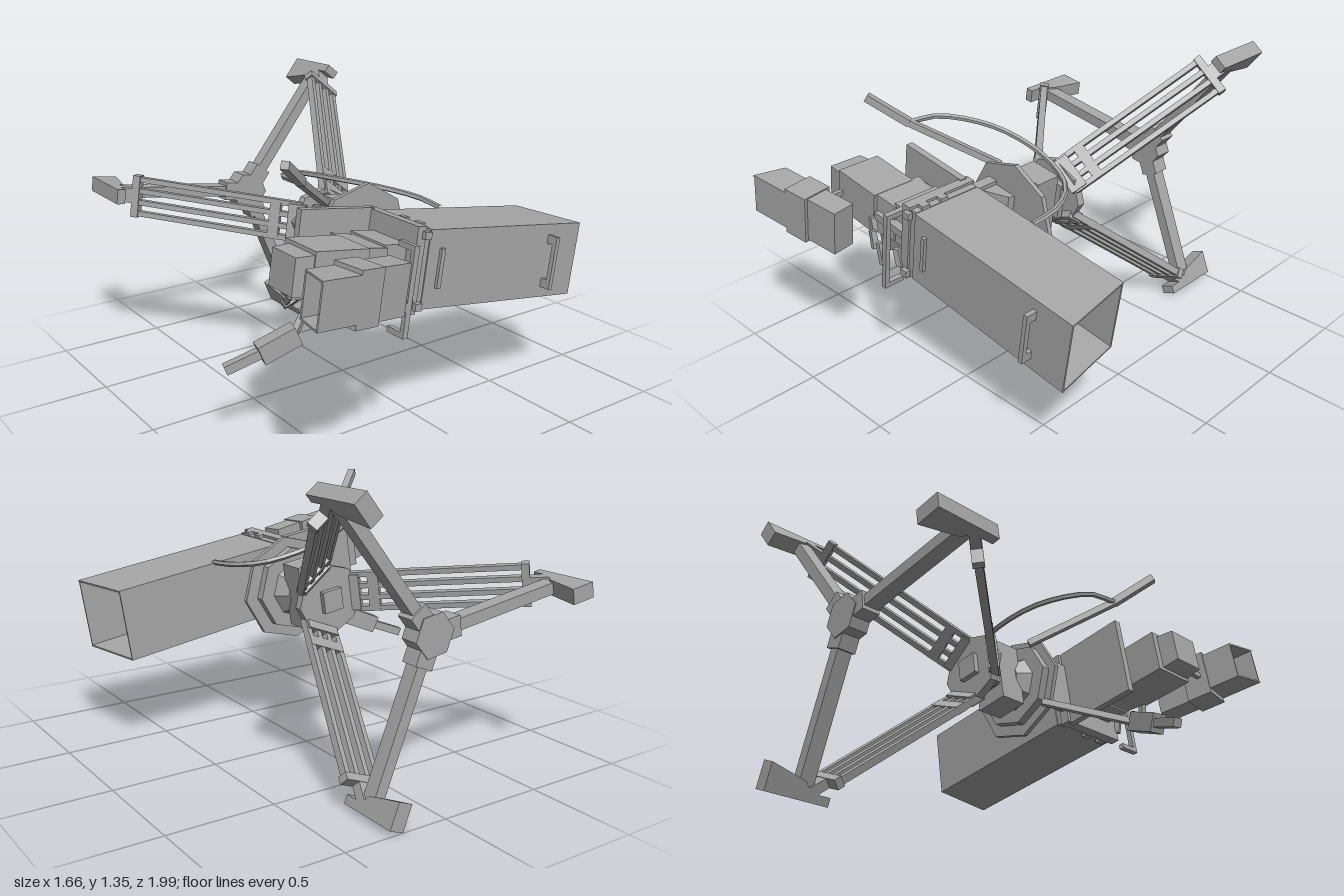
import * as THREE from 'three';

const grey = new THREE.MeshStandardMaterial({ color: 0xa6a6a6, flatShading: true });
grey.name = 'grey';

function mesh(name, geo, parent, x = 0, y = 0, z = 0) {
  const m = new THREE.Mesh(geo, grey);
  m.name = name;
  m.position.set(x, y, z);
  parent.add(m);
  return m;
}

// Box given by its limits on each axis; taper scales the -x end
function block(name, parent, [x0, x1], [y0, y1], [z0, z1], taper = 1) {
  const g = new THREE.BoxGeometry(x1 - x0, y1 - y0, z1 - z0);
  const p = g.attributes.position;
  for (let i = 0; i < p.count; i++) {
    if (p.getX(i) < 0) { p.setY(i, p.getY(i) * taper); p.setZ(i, p.getZ(i) * taper); }
  }
  g.computeVertexNormals();
  return mesh(name, g, parent, (x0 + x1) / 2, (y0 + y1) / 2, (z0 + z1) / 2);
}

// Square bar between two points
function beam(name, parent, a, b, w, h = w) {
  const A = new THREE.Vector3(...a), B = new THREE.Vector3(...b);
  const m = mesh(name, new THREE.BoxGeometry(w, h, A.distanceTo(B)), parent);
  m.position.copy(A).add(B).multiplyScalar(0.5);
  m.lookAt(B);
  return m;
}

// Prism with its axis along z, a flat side facing sideways
function prism(name, parent, r0, r1, sides, z0, z1, x, y) {
  const m = mesh(name, new THREE.CylinderGeometry(r1, r0, z1 - z0, sides), parent, x, y, (z0 + z1) / 2);
  m.rotation.x = Math.PI / 2;
  return m;
}

// Polygon in x and z, extruded along y about y = 0
function slab(points, h) {
  const s = new THREE.Shape(points.map(([x, z]) => new THREE.Vector2(x, -z)));
  const g = new THREE.ExtrudeGeometry(s, { depth: h, bevelEnabled: false });
  g.translate(0, 0, -h / 2);
  g.rotateX(-Math.PI / 2);
  return g;
}

// Open square tunnel along +x with a slanted mouth
function hood(name, len, h, d, slant, t) {
  const g = new THREE.Group();
  g.name = name;
  const outline = [[0, -d / 2], [len - slant, -d / 2], [len, d / 2], [0, d / 2]];
  for (const s of [-1, 1]) mesh('hoodPlate', slab(outline, t), g, 0, s * (h - t) / 2, 0);
  const y = [-h / 2 + t, h / 2 - t];
  block('hoodFrontWall', g, [0, len - slant * t / d], y, [d / 2 - t, d / 2]);
  block('hoodBackWall', g, [0, len - slant], y, [-d / 2, -d / 2 + t]);
  block('hoodEndWall', g, [0, t], y, [-d / 2 + t, d / 2 - t]);
  return g;
}

const AX = -0.03, AY = 0.735, TILT = -0.148;

function buildLimb(angle) {
  const limb = new THREE.Group();
  limb.name = 'tripodLimb';
  limb.position.set(AX, AY, 0);
  limb.rotation.z = angle;

  // ladder-like leg
  const leg = new THREE.Group();
  leg.name = 'leg';
  leg.position.set(0.12, 0, -0.12);
  leg.rotation.y = 0.834;
  limb.add(leg);
  for (const y of [-0.082, -0.028, 0.028, 0.082])
    block('legRail', leg, [0.0, 0.81], [y - 0.012, y + 0.012], [-0.017, 0.017]);
  block('legHinge', leg, [-0.02, 0.06], [-0.085, 0.085], [-0.025, 0.025]);
  block('legBrace', leg, [0.1, 0.15], [-0.094, 0.094], [-0.019, 0.019]);
  block('legCrossbar', leg, [0.79, 0.825], [-0.1, 0.1], [-0.024, 0.024]);
  block('ankle', leg, [0.81, 0.92], [-0.035, 0.035], [-0.022, 0.022]);

  // foot and spreader arm
  mesh('foot', slab([[0.77, -0.7], [0.73, -0.7], [0.73, -0.79], [0.69, -0.83],
    [0.675, -0.89], [0.65, -1], [0.77, -1]], 0.07), limb);
  block('spreaderArm', limb, [0.06, 0.73], [-0.026, 0.026], [-0.855, -0.785]);
  block('spreaderSocket', limb, [0.06, 0.14], [-0.045, 0.045], [-0.865, -0.78]);
  return limb;
}

function buildHead(root) {
  // stacked plates and joints along the tripod axis
  const head = new THREE.Group();
  head.name = 'tripodHead';
  head.position.set(AX, AY, 0);
  head.rotation.z = TILT;
  root.add(head);
  prism('legPlate', head, 0.165, 0.165, 8, -0.15, -0.11, 0, 0);
  block('baseKnob', head, [-0.05, 0.05], [-0.05, 0.05], [-0.175, -0.15]);
  block('neck', head, [-0.06, 0.06], [-0.08, 0.08], [-0.11, -0.03]);
  block('collar', head, [-0.09, 0.09], [-0.09, 0.09], [-0.09, -0.06]);
  block('tiltBlock', head, [-0.08, 0.08], [-0.15, 0.15], [-0.04, 0.09]);
  prism('waist', head, 0.09, 0.14, 8, 0.06, 0.13, 0, 0);
  prism('panRing', head, 0.2, 0.2, 8, 0.12, 0.165, 0, 0);
  prism('topPlate', head, 0.25, 0.25, 8, 0.16, 0.182, 0.01, 0);
  // bracket carrying the camera
  block('mountBracket', head, [-0.14, -0.09], [-0.12, 0.12], [0.18, 0.36]);
  mesh('mountGusset', slab([[-0.1, 0.18], [0.03, 0.18], [0.02, 0.21], [-0.1, 0.27]], 0.2), head);
}

function buildHandles(root) {
  // curved cable arm and upper grip
  const pts = [[-0.47, 1.1, 0.37], [-0.45, 1.09, 0.21], [-0.26, 1.04, 0.04], [-0.01, 0.96, -0.02],
    [0.2, 0.9, 0.05], [0.285, 0.875, 0.2], [0.29, 0.86, 0.35]].map(p => new THREE.Vector3(...p));
  const curve = new THREE.CatmullRomCurve3(pts);
  mesh('curvedArm', new THREE.TubeGeometry(curve, 18, 0.013, 5), root);
  beam('upperRod', root, [-0.47, 1.1, 0.37], [-0.16, 0.9, 0.1], 0.03);
  beam('upperGrip', root, [-0.615, 1.215, 0.485], [-0.465, 1.1, 0.37], 0.035);
  // lower grip
  beam('lowerRod', root, [-0.53, 0.47, 0.395], [-0.2, 0.6, 0.14], 0.028);
  beam('lowerGripBlock', root, [-0.675, 0.41, 0.36], [-0.52, 0.475, 0.4], 0.07, 0.085);
  beam('lowerGrip', root, [-0.81, 0.357, 0.31], [-0.66, 0.415, 0.36], 0.04);
}

function buildCamera(root) {
  const cam = new THREE.Group();
  cam.name = 'camera';
  cam.position.set(-0.08, 0.7425, 0);
  cam.rotation.z = TILT;
  root.add(cam);

  // long lens hood with trim strips
  const lensHood = hood('lensHood', 0.9, 0.337, 0.35, 0.055, 0.008);
  lensHood.position.z = 0.515;
  cam.add(lensHood);
  const lens = mesh('lens', new THREE.CylinderGeometry(0.07, 0.07, 0.05, 12), cam, 0.03, 0, 0.515);
  lens.rotation.z = Math.PI / 2;
  block('hoodStrip', cam, [0.06, 0.08], [-0.08, 0.09], [0.685, 0.705]);
  block('hoodStrip', cam, [0.7, 0.72], [-0.12, 0.12], [0.72, 0.742]);
  for (const y of [-0.1, 0.1])
    block('stripPost', cam, [0.7, 0.72], [y - 0.02, y + 0.02], [0.685, 0.725]);

  // frame, its knobs and the rear panel
  block('frameFront', cam, [-0.03, 0], [-0.172, 0.172], [0.345, 0.685]);
  block('frameRear', cam, [-0.075, -0.03], [-0.185, 0.185], [0.335, 0.695]);
  for (const s of [-1, 1]) {
    block('frameKnob', cam, [-0.05, -0.015], [s * 0.15 - 0.016, s * 0.15 + 0.016], [0.69, 0.715]);
    for (const z of [0.53, 0.63])
      block('frameLatch', cam, [-0.03, 0], [s * 0.175 - 0.012, s * 0.175 + 0.012], [z - 0.02, z + 0.02]);
  }
  block('sidePanel', cam, [-0.43, -0.06], [-0.19, 0.19], [0.352, 0.386]);

  // camera body, a chain of boxes
  block('bodyFront', cam, [-0.19, -0.07], [-0.1, 0.1], [0.41, 0.64]);
  block('bodyShoulder', cam, [-0.3, -0.18], [-0.09, 0.09], [0.43, 0.65], 1.1);
  block('bodyMain', cam, [-0.545, -0.29], [-0.1, 0.1], [0.46, 0.675]);
  block('bodyRear', cam, [-0.625, -0.54], [-0.085, 0.085], [0.49, 0.67], 0.9);
  block('bodyMount', cam, [-0.3, -0.15], [-0.06, 0.06], [0.375, 0.45]);
  block('controlBar', cam, [-0.28, -0.08], [-0.015, 0.02], [0.64, 0.68]);

  // looped side grip
  const loop = [[-0.3, -0.02, 0.67], [-0.26, -0.06, 0.7], [-0.2, -0.1, 0.74], [-0.1, -0.1, 0.74], [-0.07, -0.1, 0.66]];
  for (let i = 0; i < 4; i++) beam('sideGrip', cam, loop[i], loop[i + 1], 0.026);

  // bracket holding the viewfinder
  for (const y of [-0.25, 0.11]) block('finderBracketArm', cam, [-0.13, -0.105], [y - 0.012, y + 0.012], [0.65, 0.75]);
  block('finderBracketBar', cam, [-0.13, -0.105], [-0.262, 0.122], [0.73, 0.752]);
  block('finderPost', cam, [-0.535, -0.515], [-0.02, 0.005], [0.66, 0.84]);

  // viewfinder with hollow eyepiece
  const finder = new THREE.Group();
  finder.name = 'viewfinder';
  finder.position.set(-0.495, 0.0, 0.88);
  finder.rotation.y = 0.16;
  cam.add(finder);
  block('finderFront', finder, [0.055, 0.22], [-0.105, 0.105], [-0.055, 0.055]);
  block('finderMiddle', finder, [-0.06, 0.06], [-0.115, 0.11], [-0.075, 0.07]);
  const eye = hood('eyepiece', 0.2, 0.185, 0.14, 0.05, 0.008);
  eye.position.x = -0.055;
  eye.rotation.z = Math.PI;
  finder.add(eye);
}

export function createModel() {
  const root = new THREE.Group();
  root.name = 'cameraOnTripod';
  for (let i = 0; i < 3; i++) root.add(buildLimb(0.9 + i * Math.PI * 2 / 3));
  prism('spreaderHub', root, 0.1, 0.1, 6, -0.87, -0.78, AX, AY).rotation.y = 0.37;
  buildHead(root);
  buildHandles(root);
  buildCamera(root);
  return root;
}
